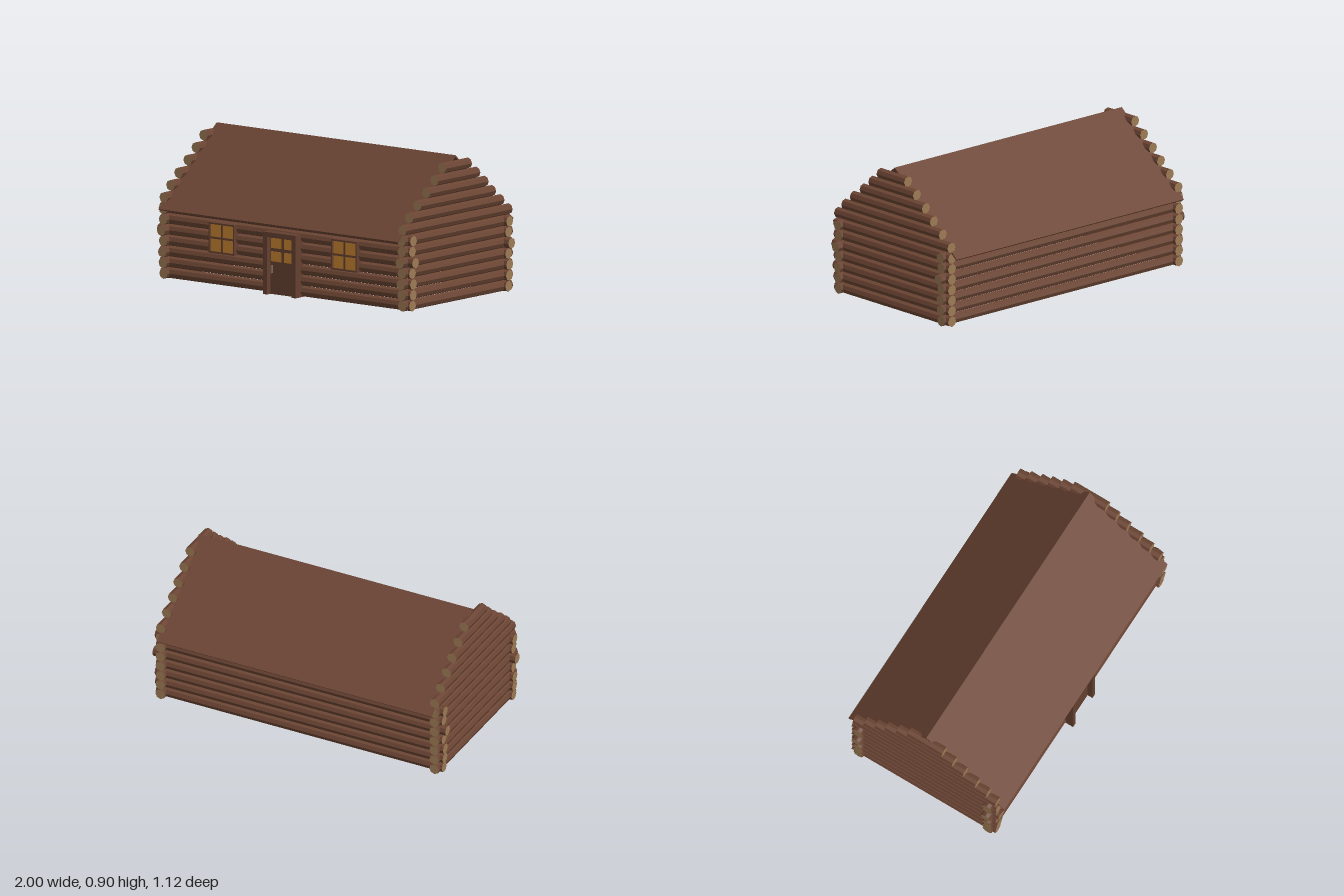
import * as THREE from 'three';

const mat = (color, extra = {}) =>
  new THREE.MeshStandardMaterial({ color, flatShading: true, ...extra });

export function createModel() {
  const cabin = new THREE.Group();
  cabin.name = 'logCabin';
  const bark = mat(0x6b4433);
  const cutWood = mat(0x9c7a54);
  const timber = mat(0x64402f);
  const glass = mat(0xc4812f);
  const metal = mat(0x7a6a58);
  const roofMat = mat(0x6b4433, { side: THREE.DoubleSide });

  const R = 0.033, PITCH = 0.0667, WALL_X = 0.935, WALL_Z = 0.462;

  function group(name, parent = cabin) {
    const g = new THREE.Group();
    g.name = name;
    parent.add(g);
    return g;
  }

  function box(parent, name, material, x0, x1, y0, y1, z0, z1) {
    const m = new THREE.Mesh(new THREE.BoxGeometry(x1 - x0, y1 - y0, z1 - z0), material);
    m.position.set((x0 + x1) / 2, (y0 + y1) / 2, (z0 + z1) / 2);
    m.name = name;
    parent.add(m);
  }

  // Octagonal log from a to b along one axis, with pale sawn ends
  function log(parent, name, axis, a, b, y, offset) {
    const geo = new THREE.CylinderGeometry(R, R, b - a, 8);
    const m = new THREE.Mesh(geo, [bark, cutWood, cutWood]);
    if (axis === 'x') {
      m.rotation.z = -Math.PI / 2;
      m.position.set((a + b) / 2, y, offset);
    } else {
      m.rotation.x = Math.PI / 2;
      m.position.set(offset, y, (a + b) / 2);
    }
    m.name = name;
    parent.add(m);
  }

  // Long and short walls: crossing logs with slightly uneven ends
  const longEnds = [0.977, 0.982, 0.984, 0.976, 1.0, 0.976, 0.984];
  const frontEnds = [0.512, 0.518, 0.525, 0.516, 0.535, 0.516, 0.518];
  for (const s of [1, -1]) {
    const longWall = group(s > 0 ? 'frontWall' : 'backWall');
    const endWall = group(s > 0 ? 'leftWall' : 'rightWall');
    for (let i = 0; i < 7; i++) {
      const y = 0.0345 + i * PITCH;
      log(longWall, 'longWallLog', 'x', -longEnds[i], longEnds[i], y, s * WALL_Z);
      log(endWall, 'endWallLog', 'z', -0.515, frontEnds[i], y, s * WALL_X);
    }
    // Stepped gable
    const gable = group(s > 0 ? 'leftGable' : 'rightGable');
    [[0.51, 0.51], [0.445, 0.432], [0.368, 0.352], [0.28, 0.28], [0.202, 0.2], [0.128, 0.12]]
      .forEach(([front, back], i) =>
        log(gable, 'gableLog', 'z', -back, front, 0.0345 + (i + 7) * PITCH, s * WALL_X));
  }

  // Thin folded roof
  const roofShape = new THREE.Shape([
    [0.558, 0.437], [0, 0.898], [-0.558, 0.437], [-0.552, 0.43], [0, 0.887], [0.552, 0.43],
  ].map(([z, y]) => new THREE.Vector2(z, y)));
  const roofGeo = new THREE.ExtrudeGeometry(roofShape, { depth: 2 * WALL_X, bevelEnabled: false });
  roofGeo.translate(0, 0, -WALL_X);
  const roof = new THREE.Mesh(roofGeo, roofMat);
  roof.rotation.y = Math.PI / 2;
  roof.name = 'roof';
  cabin.add(roof);

  // Four panes, two by two, around a centre point
  function panes(parent, cx, cy, w, h, gap, z) {
    for (const sx of [1, -1]) for (const sy of [1, -1]) {
      const x = cx + sx * (w + gap) / 2, y = cy + sy * (h + gap) / 2;
      box(parent, 'windowPane', glass, x - w / 2, x + w / 2, y - h / 2, y + h / 2, z - 0.008, z);
    }
  }

  // Windows either side of the door
  for (const s of [1, -1]) {
    const win = group(s > 0 ? 'leftWindow' : 'rightWindow');
    const cx = s * 0.48, cy = 0.297, w = 0.101, h = 0.094, t = 0.01;
    box(win, 'windowBacking', timber, cx - w, cx + w, cy - h, cy + h, 0.46, 0.498);
    for (const k of [1, -1]) {
      const x = cx + k * (w - t / 2), y = cy + k * (h - t / 2);
      box(win, 'windowStile', timber, x - t / 2, x + t / 2, cy - h, cy + h, 0.46, 0.514);
      box(win, 'windowRail', timber, cx - w + t, cx + w - t, y - t / 2, y + t / 2, 0.46, 0.514);
    }
    box(win, 'windowMullion', timber, cx - 0.006, cx + 0.006, cy - h + t, cy + h - t, 0.49, 0.51);
    box(win, 'windowCrossbar', timber, cx - w + t, cx + w - t, cy - 0.006, cy + 0.006, 0.49, 0.51);
    panes(win, cx, cy, 0.085, 0.078, 0.012, 0.503);
  }

  // Door with deep frame, glazing and handle
  const door = group('door');
  for (const s of [1, -1])
    box(door, 'doorPost', timber, s * 0.111 - 0.015, s * 0.111 + 0.015, 0, 0.385, 0.413, 0.545);
  box(door, 'doorLintel', timber, -0.096, 0.096, 0.355, 0.385, 0.413, 0.545);
  box(door, 'doorPanel', timber, -0.096, 0.096, 0, 0.355, 0.475, 0.51);
  panes(door, 0, 0.274, 0.08, 0.062, 0.02, 0.512);
  box(door, 'doorHandle', metal, -0.085, -0.077, 0.13, 0.18, 0.508, 0.525);

  return cabin;
}
